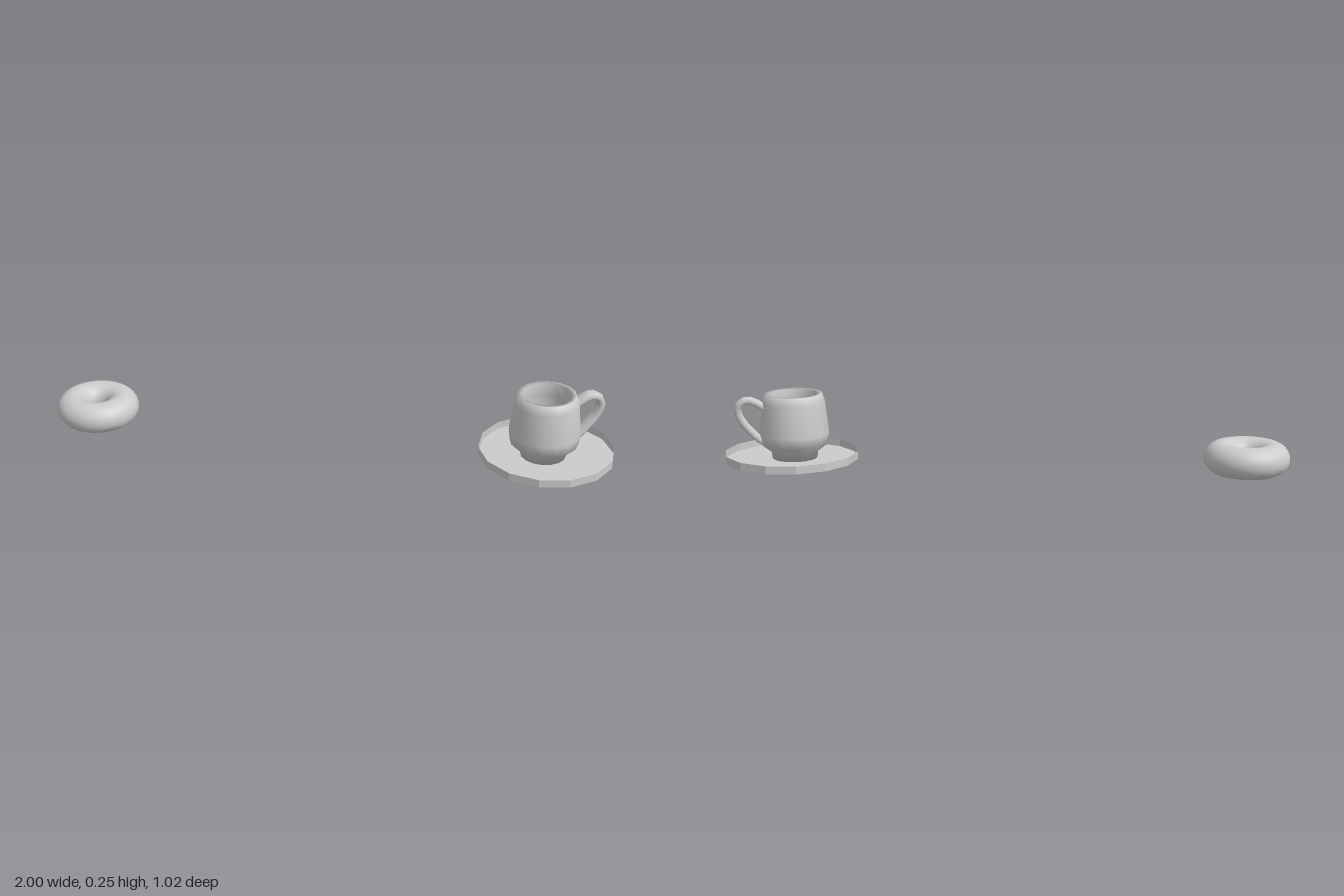
import * as THREE from 'three';
import { ParametricGeometry } from 'three/addons/geometries/ParametricGeometry.js';

const material = new THREE.MeshStandardMaterial({ color: 0xcccccc, side: THREE.DoubleSide });
const flat = new THREE.MeshStandardMaterial({ color: 0xcccccc, side: THREE.DoubleSide, flatShading: true });

function part(name, geometry, mat = material) {
  const mesh = new THREE.Mesh(geometry, mat);
  mesh.name = name;
  return mesh;
}

// Fourteen-sided shallow dish: thin upright wall around a flat floor
function makeSaucer() {
  const saucer = new THREE.Group();
  saucer.name = 'saucer';
  const wall = part('saucerWall', new THREE.CylinderGeometry(0.253, 0.253, 0.03, 14, 1, true), flat);
  wall.position.y = 0.015;
  const floor = part('saucerFloor', new THREE.CylinderGeometry(0.252, 0.252, 0.003, 14), flat);
  floor.position.y = 0.0015;
  saucer.add(wall, floor);
  saucer.position.set(0.753, 0, 0.253);
  return saucer;
}

function makeCup() {
  const cup = new THREE.Group();
  cup.name = 'cup';

  // Foot, belly, rim, then the inside down to its floor
  const profile = [
    [0, 0.004], [0.085, 0.004], [0.088, 0.03], [0.127, 0.06], [0.132, 0.1], [0.119, 0.22],
    [0.108, 0.253], [0.09, 0.251], [0.098, 0.2], [0.1, 0.09], [0.072, 0.05], [0, 0.05],
  ].map(([r, y]) => new THREE.Vector2(r, y));
  cup.add(part('cupBody', new THREE.LatheGeometry(profile, 16)));

  // Ear-shaped handle: a round tube widened sideways into a strap
  const path = new THREE.CatmullRomCurve3([
    [0.108, 0.2], [0.135, 0.217], [0.165, 0.231], [0.197, 0.225], [0.211, 0.196],
    [0.197, 0.155], [0.165, 0.113], [0.135, 0.083], [0.113, 0.07],
  ].map(([x, y]) => new THREE.Vector3(x, y, 0)));
  const strap = new THREE.TubeGeometry(path, 14, 0.015, 8);
  strap.scale(1, 1, 1.93);
  cup.add(part('cupHandle', strap));

  cup.position.set(0.74, 0, 0.257);
  return cup;
}

function makeDonut() {
  const donut = new THREE.Group();
  donut.name = 'donut';
  const ring = 0.095;

  const dough = part('dough', new THREE.TorusGeometry(ring, 0.0565, 20, 32).rotateX(Math.PI / 2));
  donut.add(dough);

  // Drips around the outside: angle in degrees, extra drop, width in degrees
  const drips = [
    [8, 0.6, 7], [36, 0.25, 11], [57, 0.65, 8], [92, 0.65, 7], [118, 0.2, 10], [140, 0.5, 9],
    [170, 0.3, 10], [195, 0.6, 7], [225, 0.35, 11], [255, 0.6, 8], [285, 0.3, 10], [315, 0.45, 9], [338, 0.2, 9],
  ];
  const edgeAngle = (deg) => drips.reduce((angle, [at, drop, width]) => {
    const d = ((deg - at + 540) % 360) - 180;
    return angle - drop * Math.exp(-((d / width) ** 2));
  }, -0.17);

  // Icing shell runs from the hole over the top to the wavy edge, with a lip at both ends
  const icing = new ParametricGeometry((u, v, target) => {
    const theta = u * Math.PI * 2;
    const end = edgeAngle(u * 360);
    const t = THREE.MathUtils.clamp((v - 0.08) / 0.84, 0, 1);
    const phi = THREE.MathUtils.lerp(Math.PI + 0.2, end, t);
    const lip = THREE.MathUtils.clamp(Math.min(v, 1 - v) / 0.08, 0, 1);
    const r = THREE.MathUtils.lerp(0.055, 0.06, Math.sqrt(lip));
    const out = ring + r * Math.cos(phi);
    target.set(out * Math.cos(theta), r * 0.975 * Math.sin(phi), out * Math.sin(theta));
  }, 144, 25);
  donut.add(part('icing', icing));

  donut.position.set(-0.845, 0.0715, -0.36);
  return donut;
}

export function createModel() {
  const model = new THREE.Group();
  model.name = 'cupAndDonut';
  model.add(makeSaucer(), makeCup(), makeDonut());
  return model;
}
